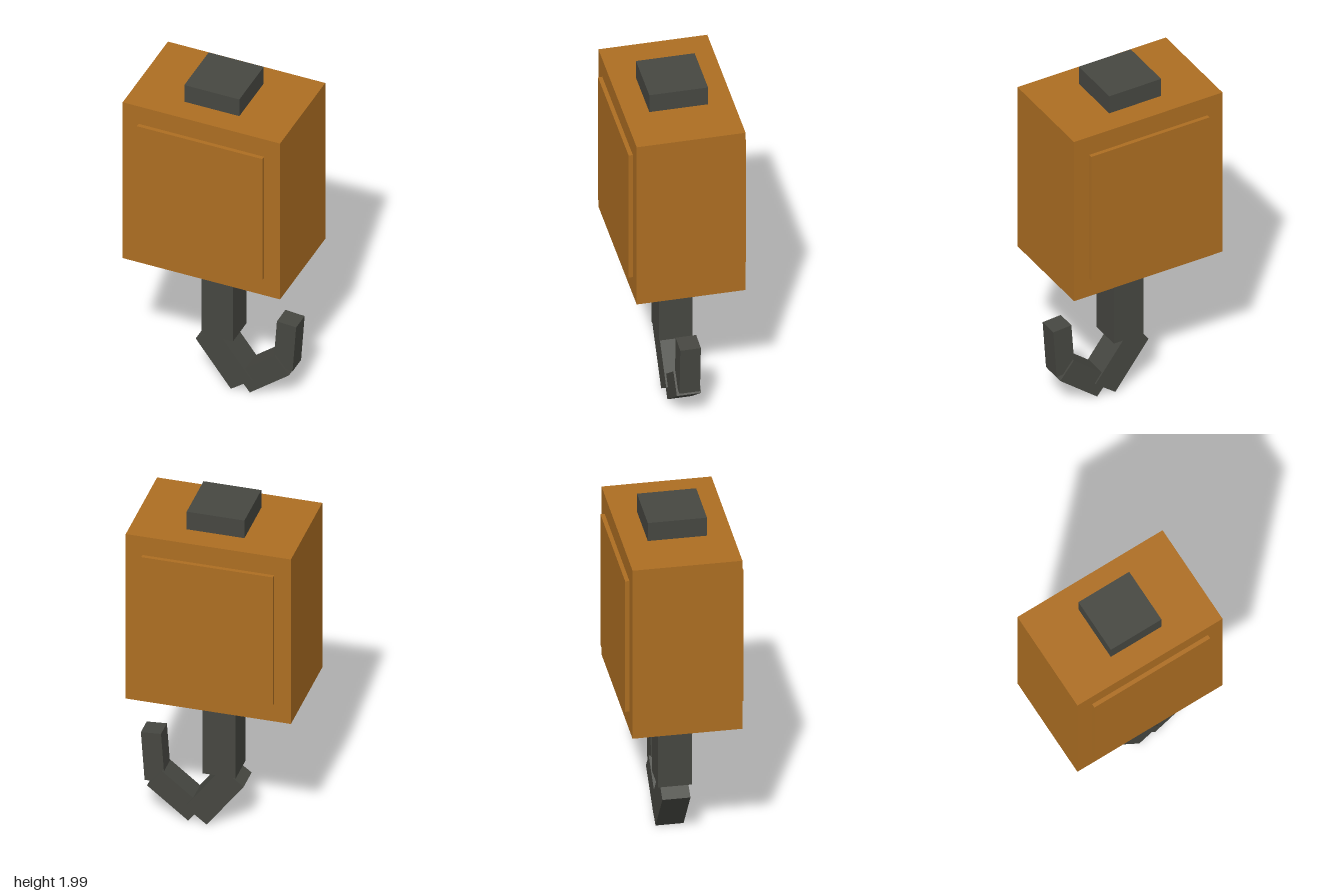
import * as THREE from 'three';

export function createModel() {
  const model = new THREE.Group();
  model.name = 'hookBlock';

  const paint = new THREE.MeshStandardMaterial({ color: 0xad6e22 });
  paint.name = 'ochre paint';
  const steel = new THREE.MeshStandardMaterial({ color: 0x464741 });
  steel.name = 'dark steel';

  const box = (name, material, size, position, tilt = 0) => {
    const mesh = new THREE.Mesh(new THREE.BoxGeometry(...size), material);
    mesh.name = name;
    mesh.position.set(...position);
    mesh.rotation.z = tilt;
    model.add(mesh);
  };

  // Housing with a raised panel on the front and back
  box('housing', paint, [0.915, 1.03, 0.594], [0, 1.375, 0]);
  for (const [name, side] of [['frontPanel', 1], ['backPanel', -1]]) {
    box(name, paint, [0.73, 0.8, 0.046], [0, 1.375, side * 0.297]);
  }

  // Mount above and shank below
  box('topMount', steel, [0.32, 0.16, 0.32], [0, 1.92, 0]);
  box('shank', steel, [0.183, 0.56, 0.183], [0, 0.613, 0]);

  // Hook: three straight segments that taper towards the tip
  const segments = [
    ['hookUpper', 0.152, 0.34, 0.032, 0.187, 0.645],
    ['hookBend', 0.133, 0.29, 0.252, 0.149, -0.9],
    ['hookTip', 0.112, 0.297, 0.378, 0.364, -0.07],
  ];
  for (const [name, width, length, x, y, tilt] of segments) {
    box(name, steel, [width, length, width], [x, y, 0], tilt);
  }

  return model;
}
